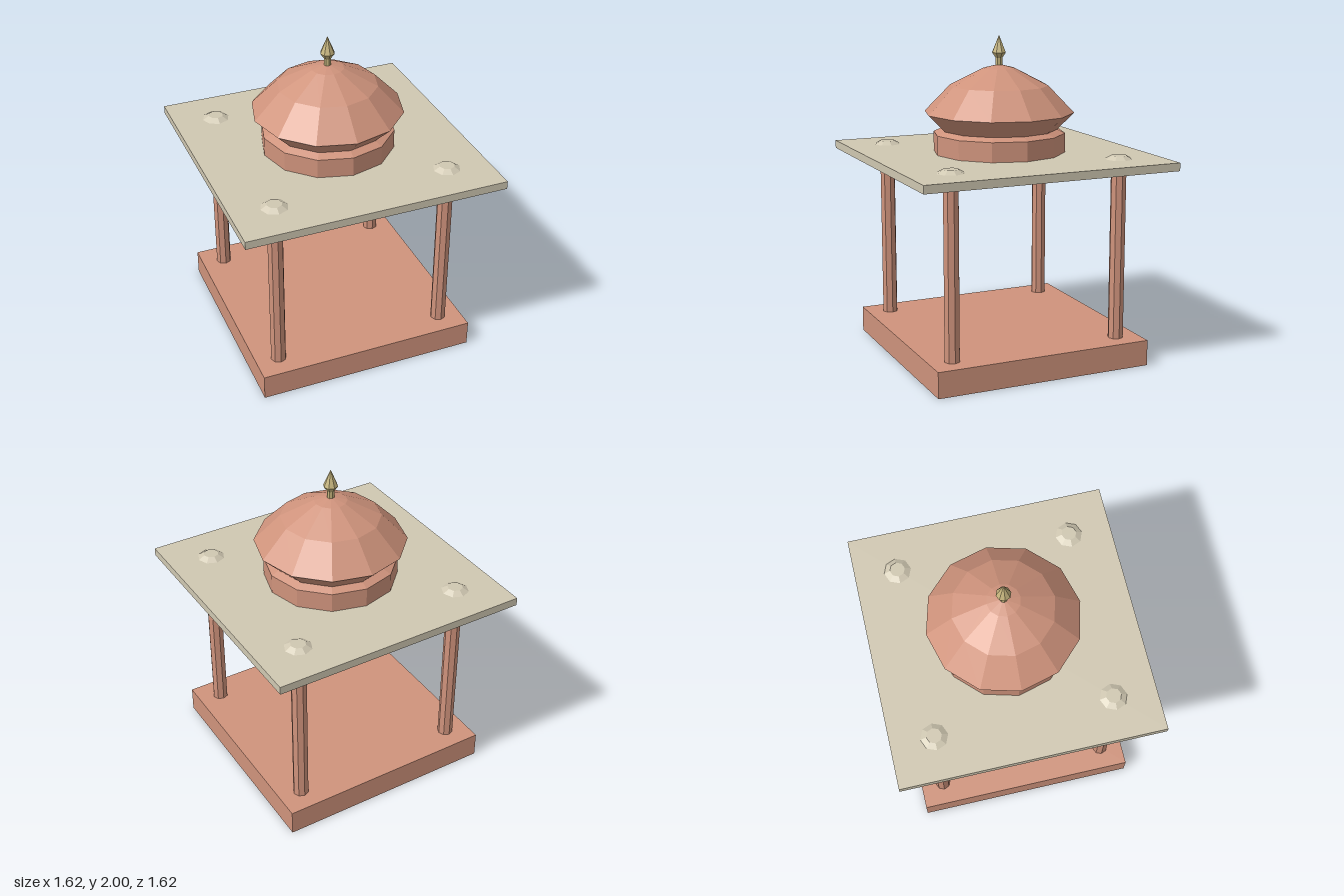
import * as THREE from 'three';

const material = (color) => new THREE.MeshStandardMaterial({ color, flatShading: true });

export function createModel() {
  const model = new THREE.Group();
  model.name = 'domedPavilion';
  const sandstone = material(0xcf937c);
  const paleStone = material(0xd0c8b2);
  const brass = material(0xc4b37c);

  const add = (name, geometry, mat, x, y, z) => {
    const mesh = new THREE.Mesh(geometry, mat);
    mesh.name = name;
    mesh.position.set(x, y, z);
    model.add(mesh);
  };
  const lathe = (profile, sides) =>
    new THREE.LatheGeometry(profile.map(([r, y]) => new THREE.Vector2(r, y)), sides);

  // Plinth and overhanging roof slab
  add('plinth', new THREE.BoxGeometry(1.38, 0.16, 1.38), sandstone, 0, 0.08, 0);
  add('roofSlab', new THREE.BoxGeometry(1.62, 0.05, 1.62), paleStone, 0, 1.255, 0);

  // Four octagonal columns, each with a low boss above the slab
  const column = new THREE.CylinderGeometry(0.048, 0.048, 1.09, 8);
  const boss = new THREE.CylinderGeometry(0.047, 0.084, 0.022, 8);
  for (const x of [-0.545, 0.545]) {
    for (const z of [-0.545, 0.545]) {
      add('column', column, sandstone, x, 0.695, z);
      add('roofBoss', boss, paleStone, x, 1.291, z);
    }
  }

  // Twelve-sided drum with a sloped shoulder, then the flared dome
  add('drum', lathe([[0.41, 1.28], [0.41, 1.4], [0.36, 1.422]], 12), sandstone, 0, 0, 0);
  add('dome', lathe([[0.36, 1.422], [0.465, 1.527], [0.305, 1.692], [0.1, 1.797], [0, 1.822]], 12),
    sandstone, 0, 0, 0);

  // Pointed finial on a short stem
  add('finial', lathe([[0.022, 1.8], [0.022, 1.86], [0.045, 1.893], [0, 2]], 8), brass, 0, 0, 0);

  return model;
}
